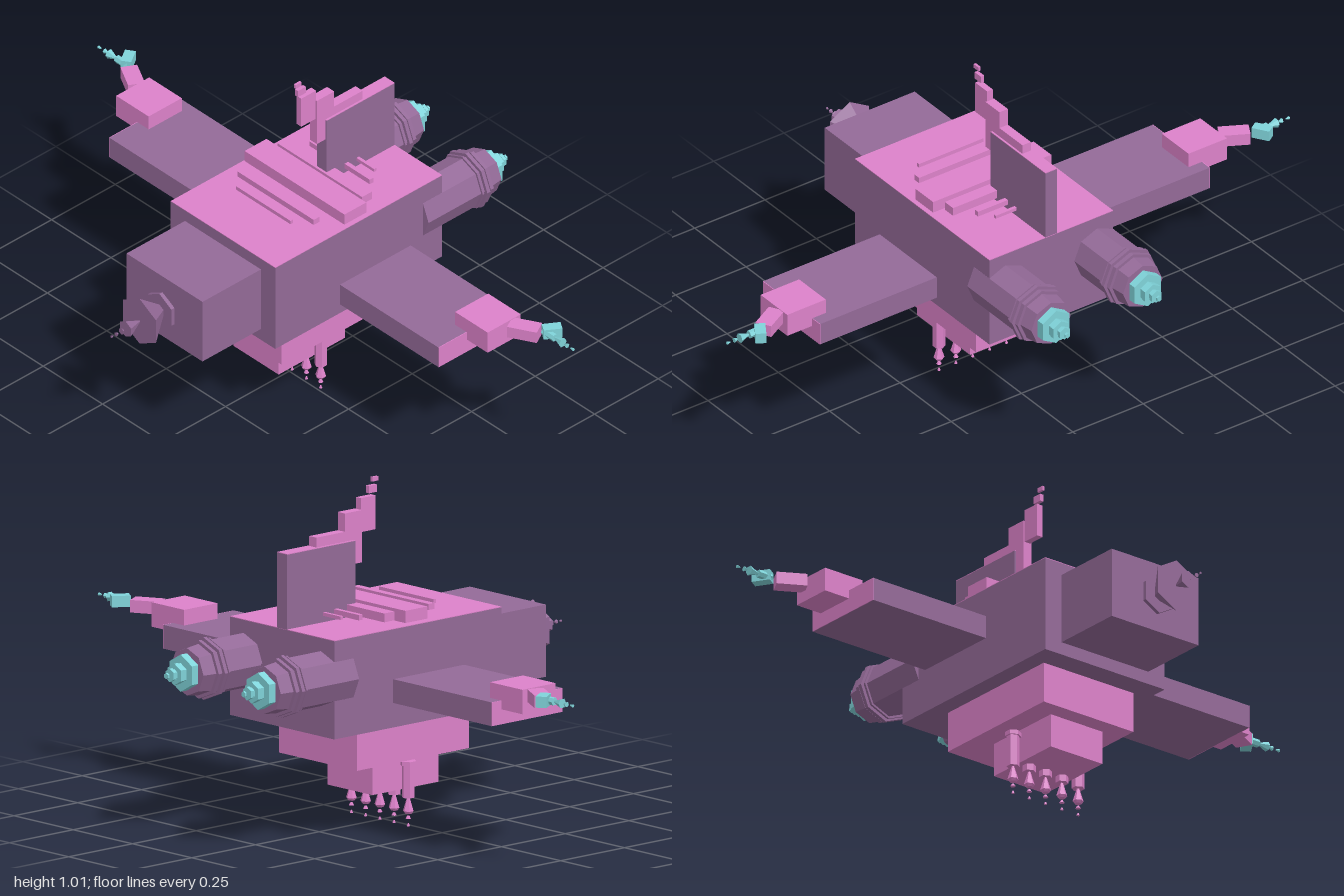
import * as THREE from 'three';

const material = (color) => new THREE.MeshStandardMaterial({ color, flatShading: true });

export function createModel() {
  const model = new THREE.Group();
  const purple = material(0x946a98);
  const pink = material(0xdd82ca);
  const cyan = material(0x80d4da);

  // Box given by its limits on each axis
  function box(name, mat, [x0, x1], [y0, y1], [z0, z1], turn = 0) {
    const mesh = new THREE.Mesh(
      new THREE.BoxGeometry(Math.abs(x1 - x0), y1 - y0, Math.abs(z1 - z0)), mat);
    mesh.position.set((x0 + x1) / 2, (y0 + y1) / 2, (z0 + z1) / 2);
    mesh.rotation.y = turn;
    mesh.name = name;
    model.add(mesh);
  }

  // Stack of tapered rings along local +y: [start, end, startRadius, endRadius]
  function stack(name, mat, sides, rings) {
    const group = new THREE.Group();
    group.name = name;
    for (const [a, b, ra, rb] of rings) {
      const mesh = new THREE.Mesh(new THREE.CylinderGeometry(rb, ra, b - a, sides), mat);
      mesh.position.y = (a + b) / 2;
      mesh.name = name + 'Ring';
      group.add(mesh);
    }
    model.add(group);
    return group;
  }

  // Hull with pink deck
  box('hull', purple, [-0.22, 0.22], [0.33, 0.619], [-0.395, 0.26]);
  box('deck', pink, [-0.22, 0.22], [0.619, 0.621], [-0.395, 0.26]);
  box('noseBlock', purple, [-0.16, 0.16], [0.369, 0.582], [0.26, 0.49]);

  // Nose: discs, flared bell and shrinking tips
  const nose = stack('noseNozzle', purple, 6, [
    [0.49, 0.498, 0.045, 0.045], [0.498, 0.51, 0.058, 0.058],
    [0.51, 0.588, 0.02, 0.08], [0.588, 0.643, 0.003, 0.027],
    [0.652, 0.66, 0.004, 0.011], [0.673, 0.681, 0.003, 0.007], [0.692, 0.699, 0.002, 0.004],
  ]);
  nose.position.y = 0.476;
  nose.rotation.x = Math.PI / 2;

  // Belly steps
  box('bellyUpper', pink, [-0.165, 0.165], [0.207, 0.33], [-0.255, 0.185]);
  box('bellyLower', pink, [-0.095, 0.095], [0.105, 0.207], [-0.13, 0.13]);

  // Row of hanging spikes
  for (let i = -2; i <= 2; i++) {
    const spike = stack('bellySpike', pink, 6, [
      [-0.193, -0.18, 0.024, 0.024], [-0.18, -0.085, 0.019, 0.019],
      [-0.085, -0.045, 0.004, 0.016], [-0.045, -0.037, 0.016, 0.01],
      [-0.03, -0.022, 0.004, 0.008], [-0.008, 0, 0.002, 0.005],
    ]);
    spike.position.set(i * 0.06, 0, -0.012);
    spike.rotation.x = Math.PI;
  }

  // Bars across the deck: z start, z end, half width, half height
  for (const [z0, z1, w, h] of [
    [0.092, 0.102, 0.115, 0.006], [0.03, 0.053, 0.16, 0.009], [-0.107, -0.021, 0.21, 0.018],
    [-0.16, -0.12, 0.178, 0.013], [-0.212, -0.198, 0.127, 0.008], [-0.255, -0.245, 0.095, 0.005],
  ]) box('deckBar', pink, [-w, w], [0.645 - h, 0.645 + h], [z0, z1]);

  // Tail fin with a stepped crest
  box('fin', purple, [-0.021, 0.021], [0.62, 0.841], [-0.395, -0.128]);
  box('finTop', pink, [-0.021, 0.021], [0.841, 0.843], [-0.395, -0.128]);
  for (const [z0, z1, y0, y1, w] of [
    [-0.275, -0.125, 0.835, 0.872, 0.015], [-0.163, -0.095, 0.772, 0.926, 0.015],
    [-0.096, -0.038, 0.86, 0.96, 0.01], [-0.06, -0.029, 0.968, 0.99, 0.006],
    [-0.045, -0.022, 1.0, 1.013, 0.004],
  ]) box('finCrest', pink, [-w, w], [y0, y1], [z0, z1]);

  for (const s of [1, -1]) {
    // Engine pod and its exhaust
    const pod = stack('engine', purple, 8, [
      [0.32, 0.57, 0.081, 0.081], [0.527, 0.533, 0.088, 0.088], [0.541, 0.553, 0.092, 0.092],
      [0.56, 0.572, 0.086, 0.086], [0.57, 0.617, 0.076, 0.07],
    ]);
    const exhaust = stack('exhaust', cyan, 6, [
      [0.61, 0.642, 0.055, 0.055], [0.642, 0.652, 0.03, 0.03], [0.652, 0.667, 0.032, 0.032],
      [0.667, 0.675, 0.016, 0.016], [0.675, 0.685, 0.02, 0.02], [0.693, 0.699, 0.009, 0.009],
    ]);
    for (const part of [pod, exhaust]) {
      part.position.set(s * 0.163, 0.5, 0);
      part.rotation.x = -Math.PI / 2;
    }

    // Floating wing with pink end
    box('wing', purple, [s * 0.278, s * 0.692], [0.42, 0.49], [-0.218, 0.06]);
    box('wingEnd', pink, [s * 0.692, s * 0.694], [0.42, 0.49], [-0.218, 0.06]);

    // Wing tip: blocks bending backwards, then a cyan spike
    box('tipBlock', pink, [s * 0.645, s * 0.782], [0.464, 0.536], [-0.18, -0.05]);
    box('tipJoint', pink, [s * 0.78, s * 0.87], [0.497, 0.534], [-0.18, -0.13], s * 0.5);
    box('tipClaw', cyan, [s * 0.865, s * 0.92], [0.51, 0.543], [-0.216, -0.184], s * 1.0);
    const tip = stack('tipSpike', cyan, 6, [
      [0.875, 0.922, 0.012, 0.012], [0.922, 0.955, 0.003, 0.015],
      [0.963, 0.974, 0.003, 0.008], [0.988, 1.0, 0.002, 0.005],
    ]);
    tip.position.set(0, 0.525, -0.184);
    tip.rotation.z = -s * Math.PI / 2;
  }
  return model;
}
